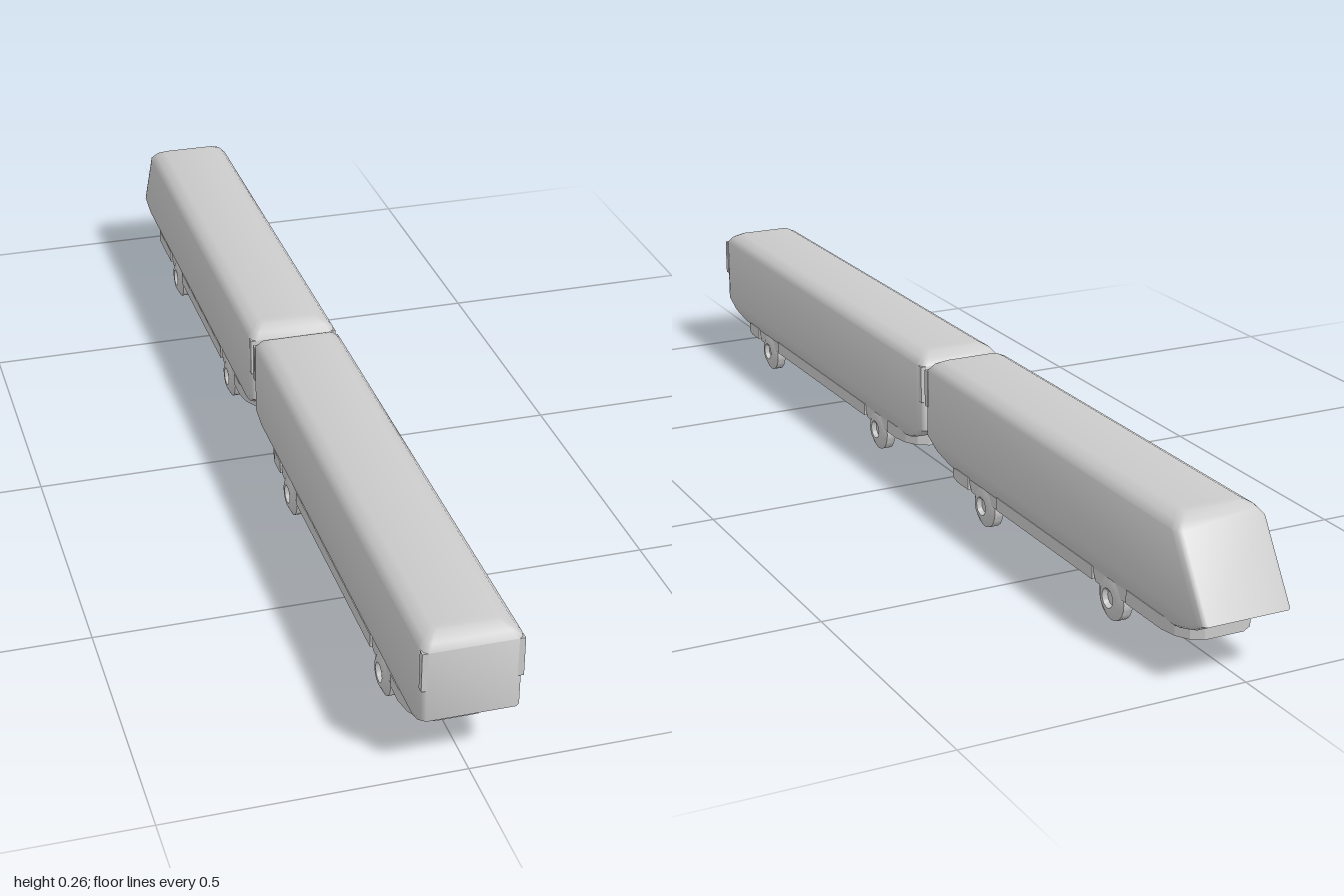
import * as THREE from 'three';
import { toCreasedNormals } from 'three/addons/utils/BufferGeometryUtils.js';

const mat = new THREE.MeshStandardMaterial({ color: 0xcccccc });

function add(parent, name, geometry, x = 0, y = 0, z = 0) {
  const mesh = new THREE.Mesh(geometry, mat);
  mesh.name = name;
  mesh.position.set(x, y, z);
  parent.add(mesh);
  return mesh;
}

// Half cross-section from sill to roof edge: x, y, inset of a flat end, inset of the raked tail
const PROFILE = [
  [0.073, 0.072, 0.07, 0.08],
  [0.080, 0.088, 0.028, 0.035],
  [0.083, 0.107, 0, 0],
  [0.083, 0.235, 0, 0.08],
  [0.073, 0.247, 0.008, 0.09],
  [0.055, 0.257, 0.027, 0.108],
];
// Plan rounding at each end: distance from the end face, width factor
const CORNER = [[0, 0.88], [0.005, 0.96], [0.018, 1]];

// Shell lofted from the front end to the back end
function bodyGeometry(zFront, zBack, tail) {
  const n = PROFILE.length, ring = 2 * n;
  const pos = [], idx = [];
  const station = (col, zEnd, dir, [s, k]) => {
    for (let i = 0; i < ring; i++) {
      const p = PROFILE[i < n ? i : ring - 1 - i];
      pos.push((i < n ? 1 : -1) * p[0] * k, p[1], zEnd + dir * (p[col] + s));
    }
  };
  CORNER.forEach(c => station(2, zFront, -1, c));
  [...CORNER].reverse().forEach(c => station(tail ? 3 : 2, zBack, 1, c));
  const last = 2 * CORNER.length - 1;
  for (let j = 0; j < last; j++) {
    for (let i = 0; i < ring; i++) {
      const a = j * ring + i, b = j * ring + (i + 1) % ring;
      idx.push(a, a + ring, b, b, a + ring, b + ring);
    }
  }
  // End faces, bridged from right to left row by row
  for (let k = 0; k < n - 1; k++) {
    const r = k, r2 = k + 1, l = ring - 1 - k, l2 = l - 1, o = last * ring;
    idx.push(r, r2, l2, r, l2, l);
    idx.push(o + r, o + l2, o + r2, o + r, o + l, o + l2);
  }
  const g = new THREE.BufferGeometry();
  g.setAttribute('position', new THREE.Float32BufferAttribute(pos, 3));
  g.setIndex(idx);
  return toCreasedNormals(g, 0.8);
}

// Floor skirt with tapered ends, notched around the wheels
function underframeGeometry(zFront, zBack, wheels) {
  const w = 0.076, spine = 0.052, gap = 0.055;
  const side = [[0.036, zFront], [0.056, zFront - 0.012], [0.07, zFront - 0.035], [w, zFront - 0.065]];
  for (const z of wheels) side.push([w, z + gap], [spine, z + gap], [spine, z - gap], [w, z - gap]);
  side.push([w, zBack + 0.065], [0.07, zBack + 0.035], [0.056, zBack + 0.012], [0.036, zBack]);
  const pts = [...side, ...side.map(([x, z]) => [-x, z]).reverse()];
  const shape = new THREE.Shape(pts.map(p => new THREE.Vector2(...p)));
  return new THREE.ExtrudeGeometry(shape, { depth: 0.024, bevelEnabled: false })
    .rotateX(Math.PI / 2).translate(0, 0.076, 0);
}

// Symmetric trapezoid prism centred on its length
function prism(top, bottom, yTop, yBottom, length) {
  const shape = new THREE.Shape([[-bottom, yBottom], [bottom, yBottom], [top, yTop], [-top, yTop]]
    .map(p => new THREE.Vector2(...p)));
  return new THREE.ExtrudeGeometry(shape, { depth: length, bevelEnabled: false }).translate(0, 0, -length / 2);
}

// Wheel turned around the x axis, with a dished hub facing outwards
const wheelGeometry = toCreasedNormals(
  new THREE.LatheGeometry([[0, 0], [0.04, 0], [0.04, 0.017], [0.024, 0.025], [0.017, 0.025], [0.014, 0.016], [0, 0.016]]
    .map(p => new THREE.Vector2(...p)), 24).rotateZ(-Math.PI / 2), 0.5);

function bogie(z) {
  const g = new THREE.Group();
  g.name = 'bogie';
  g.position.z = z;
  add(g, 'bogieFrame', prism(0.052, 0.042, 0.054, 0.028, 0.085));
  for (const s of [1, -1]) {
    const wheel = add(g, s > 0 ? 'leftWheel' : 'rightWheel', wheelGeometry, s * 0.053, 0.04, 0);
    if (s < 0) wheel.rotation.y = Math.PI;
    // Bracket over the wheel
    add(g, 'wheelBracket', prism(0.06, 0.048, 0.076, 0.05, 0.02).rotateY(Math.PI / 2), s * 0.063, 0, 0);
  }
  return g;
}

function carriage(name, { zFront, zBack, frame, wheels, tail }) {
  const car = new THREE.Group();
  car.name = name;
  add(car, 'bodyShell', bodyGeometry(zFront, zBack, tail));
  add(car, 'underframe', underframeGeometry(frame[0], frame[1], wheels));
  wheels.forEach(z => car.add(bogie(z)));
  // Upright corner strips on the flat ends
  const ends = tail ? [zFront - 0.006] : [zFront - 0.006, zBack + 0.006];
  for (const z of ends) for (const s of [1, -1]) {
    add(car, 'cornerStrip', new THREE.BoxGeometry(0.01, 0.07, 0.012), s * 0.078, 0.2, z);
  }
  return car;
}

export function createModel() {
  const train = new THREE.Group();
  train.name = 'train';
  train.add(carriage('frontCarriage', {
    zFront: 1, zBack: -0.013, frame: [0.935, 0.05], wheels: [0.775, 0.21], tail: false,
  }));
  train.add(carriage('rearCarriage', {
    zFront: -0.028, zBack: -1, frame: [-0.085, -0.935], wheels: [-0.25, -0.705], tail: true,
  }));
  // Passage joining the two carriages
  add(train, 'gangway', new THREE.BoxGeometry(0.1, 0.11, 0.024), 0, 0.17, -0.0205);
  return train;
}
